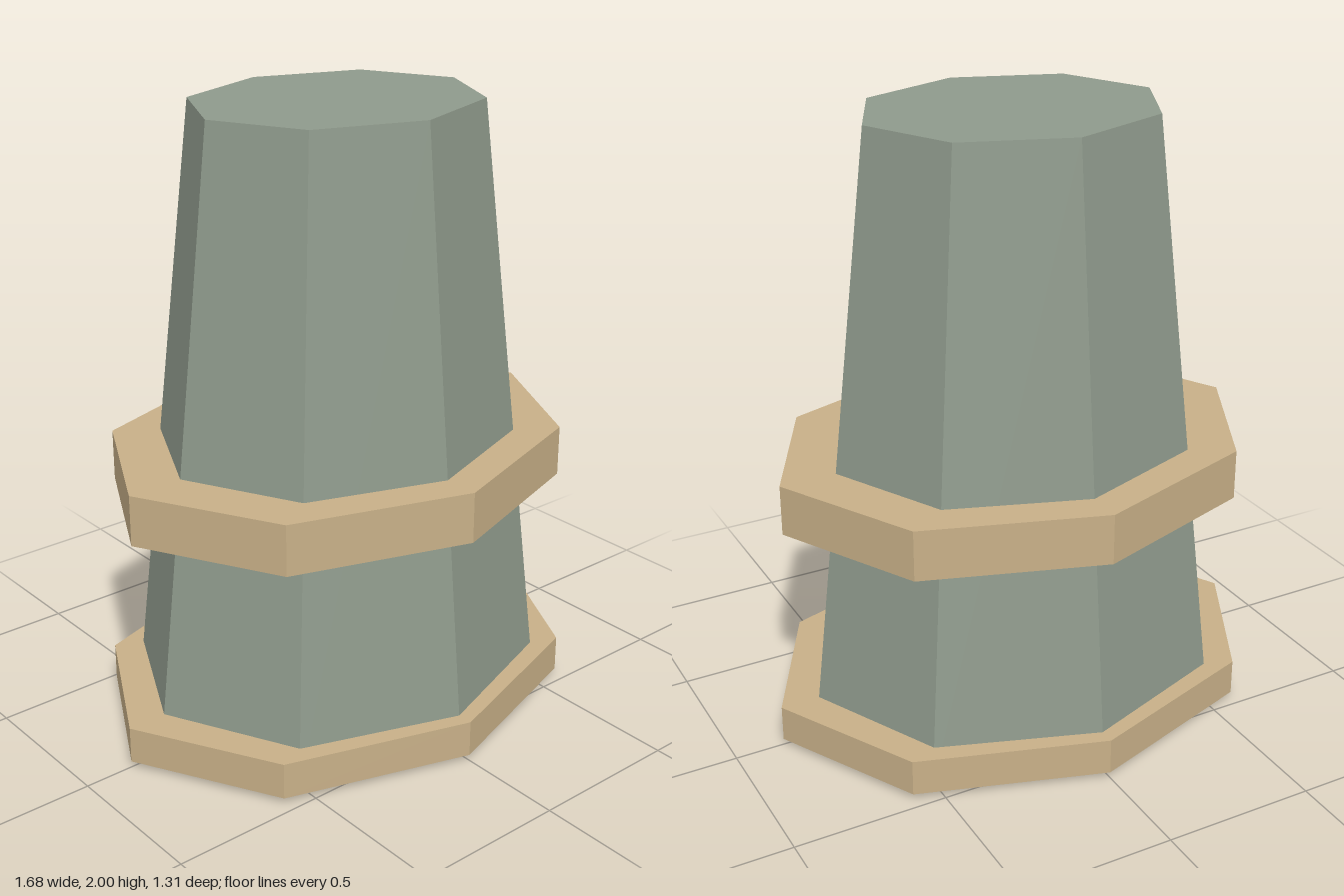
import * as THREE from 'three';

const stone = new THREE.MeshStandardMaterial({ color: 0x8f9a8c, flatShading: true });
const trim = new THREE.MeshStandardMaterial({ color: 0xc8b088, flatShading: true });

// Oval eight-sided prism between two heights; depth is the z/x ratio
function octagon(name, rTop, rBottom, y0, y1, depth, material) {
  const geometry = new THREE.CylinderGeometry(rTop, rBottom, y1 - y0, 8);
  geometry.scale(1, 1, depth);
  geometry.translate(0, (y0 + y1) / 2, 0);
  const mesh = new THREE.Mesh(geometry, material);
  mesh.name = name;
  return mesh;
}

export function createModel() {
  const group = new THREE.Group();
  group.name = 'taperedPillar';
  group.add(
    // Tapering shaft
    octagon('shaft', 0.484, 0.726, 0, 2, 0.85, stone),
    // Straight-sided bands around the foot and the middle
    octagon('baseBand', 0.838, 0.838, 0.02, 0.14, 0.78, trim),
    octagon('middleBand', 0.798, 0.798, 0.76, 0.925, 0.8, trim),
  );
  return group;
}
